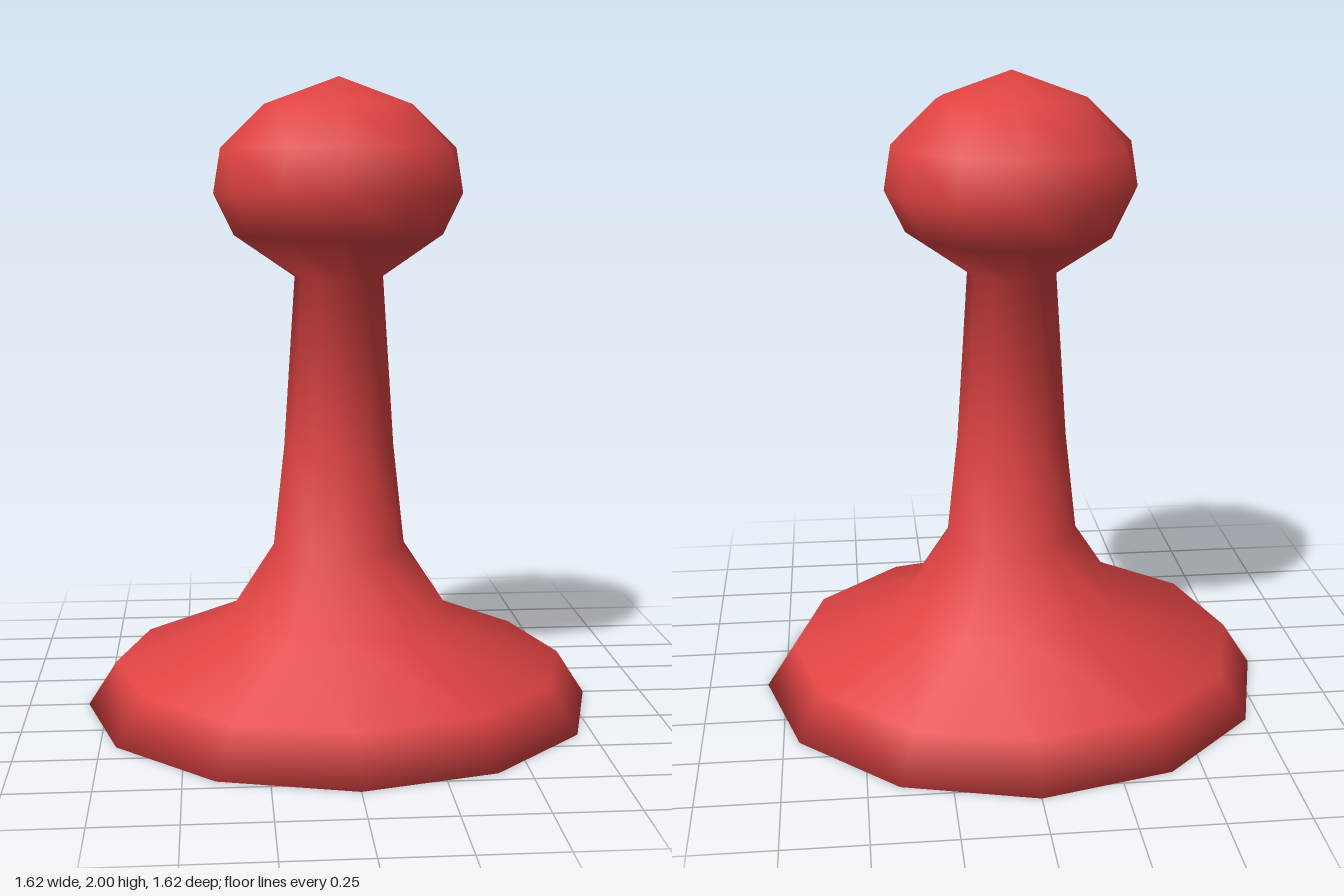
import * as THREE from 'three';

const SIDES = 12;

// Silhouette of the pawn as [radius, height], from the base rim to the crown
const PROFILE = [
  [0.81, 0], [0.72, 0.14], [0.36, 0.29], // base
  [0.21, 0.52], [0.175, 0.84], [0.14, 1.38], // stem
  [0.33, 1.51], [0.393, 1.64], [0.37, 1.78], [0.232, 1.915], [0, 2], // head
].map(([r, y]) => new THREE.Vector2(r, y));

// Outward normal of the profile segment that starts at point j
function segmentNormal(j) {
  if (j < 0) return new THREE.Vector2(0, -1); // underside
  if (j >= PROFILE.length - 1) return new THREE.Vector2(0, 1); // crown
  const d = PROFILE[j + 1].clone().sub(PROFILE[j]);
  return new THREE.Vector2(d.y, -d.x).normalize();
}

// Twelve-sided turned solid with smooth normals and a flat underside
function turnedSolid() {
  const positions = [], normals = [], index = [];
  PROFILE.forEach((p, j) => {
    const crown = p.x === 0;
    const n = crown ? new THREE.Vector2(0, 1)
      : segmentNormal(j - 1).add(segmentNormal(j)).normalize();
    for (let i = 0; i < SIDES; i++) {
      const a = (i / SIDES) * Math.PI * 2;
      const s = Math.sin(a), c = Math.cos(a);
      positions.push(p.x * s, p.y, p.x * c);
      normals.push(n.x * s, n.y, n.x * c);
    }
  });
  // Walls
  for (let j = 0; j < PROFILE.length - 1; j++) {
    for (let i = 0; i < SIDES; i++) {
      const k = (i + 1) % SIDES;
      const a = j * SIDES + i, b = j * SIDES + k;
      const c = b + SIDES, d = a + SIDES;
      index.push(a, b, d);
      if (PROFILE[j + 1].x > 0) index.push(b, c, d);
    }
  }
  // Underside
  for (let i = 1; i < SIDES - 1; i++) index.push(0, i + 1, i);

  const geometry = new THREE.BufferGeometry();
  geometry.setAttribute('position', new THREE.Float32BufferAttribute(positions, 3));
  geometry.setAttribute('normal', new THREE.Float32BufferAttribute(normals, 3));
  geometry.setIndex(index);
  return geometry;
}

export function createModel() {
  const red = new THREE.MeshStandardMaterial({ color: 0xe04343 });
  red.name = 'red';

  const model = new THREE.Group();
  model.name = 'pawn';
  const body = new THREE.Mesh(turnedSolid(), red);
  body.name = 'pawnBody';
  model.add(body);
  return model;
}
